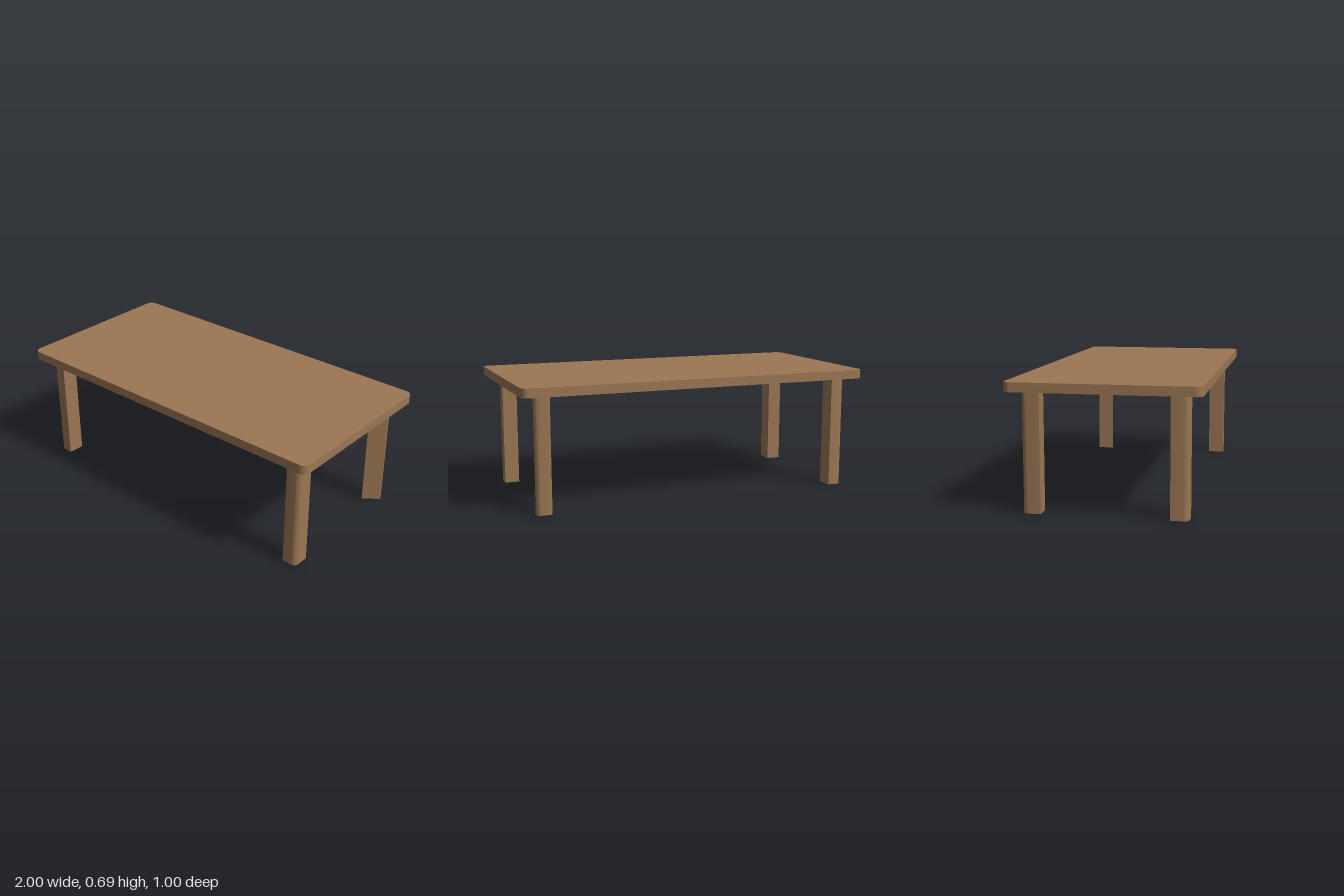
import * as THREE from 'three';
import { toCreasedNormals } from 'three/addons/utils/BufferGeometryUtils.js';

const LEG_H = 0.635, TOP_H = 0.05;

// Upright prism: a rectangle in plan with its own radius per corner (0 = sharp)
function prism(w, d, h, [rFL, rBL, rBR, rFR]) {
  const x = w / 2, z = d / 2, s = new THREE.Shape();
  const corners = [[x, -z, rFL, -90], [x, z, rBL, 0], [-x, z, rBR, 90], [-x, -z, rFR, 180]];
  corners.forEach(([cx, cy, r, start], i) => {
    if (r > 0) {
      const a = THREE.MathUtils.degToRad(start);
      s.absarc(cx - Math.sign(cx) * r, cy - Math.sign(cy) * r, r, a, a + Math.PI / 2, false);
    } else if (i === 0) s.moveTo(cx, cy);
    else s.lineTo(cx, cy);
  });
  s.closePath();
  const g = new THREE.ExtrudeGeometry(s, { depth: h, bevelEnabled: false, curveSegments: 10 });
  g.rotateX(-Math.PI / 2);
  return toCreasedNormals(g, 0.6);
}

export function createModel() {
  const table = new THREE.Group();
  table.name = 'table';
  const wood = new THREE.MeshStandardMaterial({ color: 0x9b7653 });
  wood.name = 'brown wood';

  // Slab with rounded corners
  const top = new THREE.Mesh(prism(2, 1, TOP_H, [0.04, 0.04, 0.04, 0.04]), wood);
  top.name = 'tableTop';
  top.position.y = LEG_H;
  table.add(top);

  // Four legs, each rounded only on its outer corner
  for (const sx of [1, -1]) for (const sz of [1, -1]) {
    const radii = [[1, 1], [1, -1], [-1, -1], [-1, 1]]
      .map(([x, z]) => (x === sx && z === sz ? 0.03 : 0));
    const leg = new THREE.Mesh(prism(0.083, 0.095, LEG_H, radii), wood);
    leg.name = (sz > 0 ? 'front' : 'back') + (sx > 0 ? 'Left' : 'Right') + 'Leg';
    leg.position.set(sx * 0.88, 0, sz * 0.381);
    table.add(leg);
  }
  return table;
}
